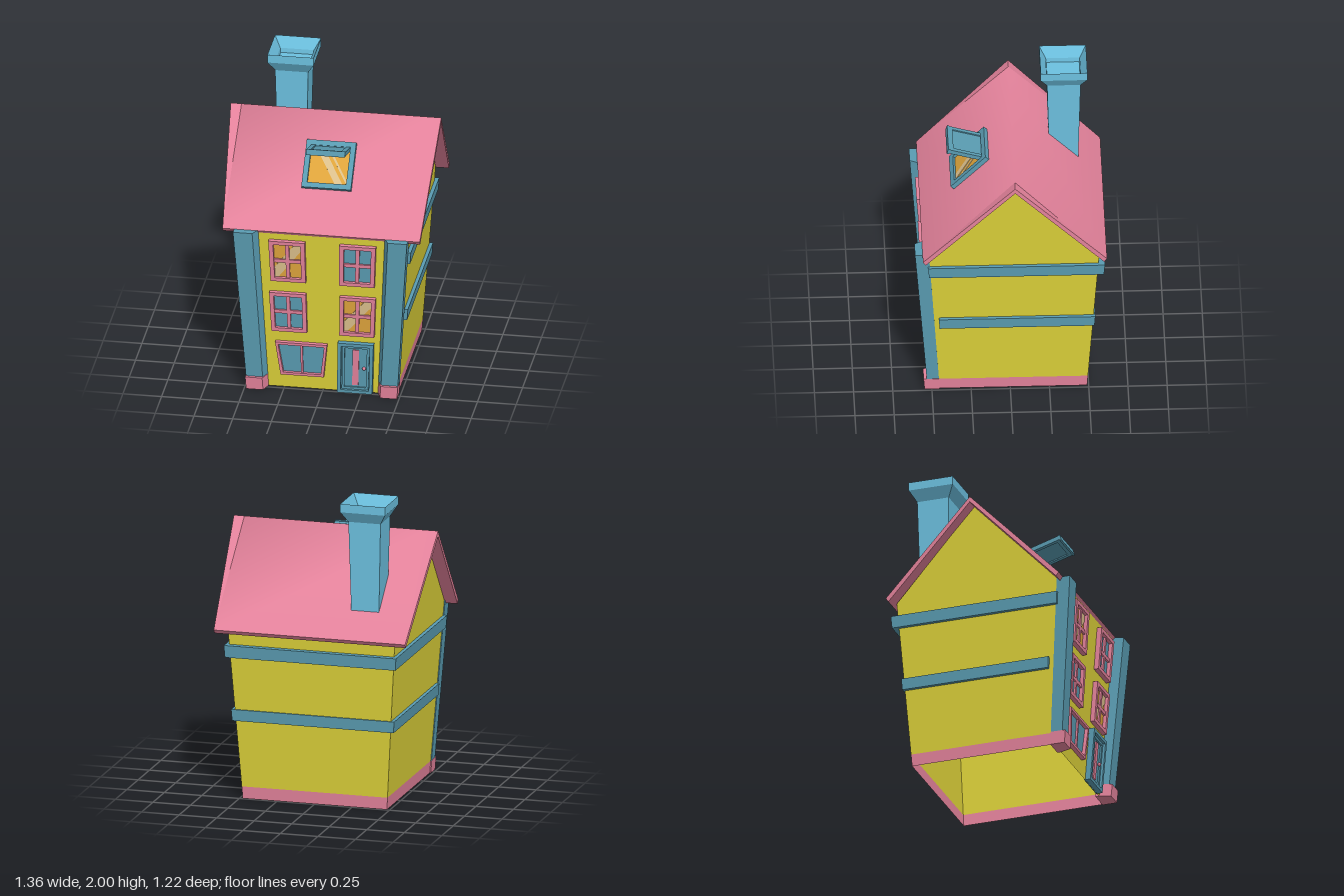
import * as THREE from 'three';

const mat = (name, color, side = THREE.FrontSide) => {
  const m = new THREE.MeshStandardMaterial({ color, side });
  m.name = name;
  return m;
};

export function createModel() {
  const wallYellow = mat('wall yellow', 0xdcd139, THREE.DoubleSide);
  const pink = mat('trim pink', 0xe5839c, THREE.DoubleSide);
  const blue = mat('trim blue', 0x5a9cb2);
  const chimneyBlue = mat('chimney blue', 0x6cc0df);
  const gold = mat('lit glass gold', 0xdfa53c);
  const glareMat = mat('glass glare', 0xdcc08c);

  const house = new THREE.Group();
  house.name = 'house';

  // The whole house widens steadily towards the top
  const taper = (g) => {
    const p = g.attributes.position;
    for (let i = 0; i < p.count; i++) {
      const s = 1 + 0.14 * p.getY(i);
      p.setXYZ(i, p.getX(i) * s, p.getY(i), p.getZ(i) * s);
    }
    return flat(g);
  };
  const flat = (g) => {
    const n = g.index ? g.toNonIndexed() : g;
    n.computeVertexNormals();
    return n;
  };
  const add = (name, g, m, parent = house) => {
    const mesh = new THREE.Mesh(g, m);
    mesh.name = name;
    parent.add(mesh);
    return mesh;
  };
  const shapeOf = (pts) => new THREE.Shape(pts.map(([x, y]) => new THREE.Vector2(x, y)));
  const box = (x0, x1, y0, y1, z0, z1) =>
    new THREE.BoxGeometry(x1 - x0, y1 - y0, z1 - z0).translate((x0 + x1) / 2, (y0 + y1) / 2, (z0 + z1) / 2);
  const plate = (pts, z0, z1) =>
    new THREE.ExtrudeGeometry(shapeOf(pts), { depth: z1 - z0, bevelEnabled: false }).translate(0, 0, z0);
  // Trapezoid outline: half widths at bottom and top
  const trap = (cx, y0, y1, b, t) => [[cx - b, y0], [cx + b, y0], [cx + t, y1], [cx - t, y1]];
  const frame = (cx, y0, y1, b, t, w, z0, z1) => {
    const s = shapeOf(trap(cx, y0, y1, b, t));
    s.holes.push(shapeOf(trap(cx, y0 + w, y1 - w, b - w, t - w)));
    return new THREE.ExtrudeGeometry(s, { depth: z1 - z0, bevelEnabled: false }).translate(0, 0, z0);
  };

  // Walls: open-bottomed shell with painted base
  const W = 0.48, F = 0.475, B = -0.49, E = 1.12, P = 0.08;
  const sideFace = (pts, x) => new THREE.ShapeGeometry(shapeOf(pts)).rotateY(-Math.PI / 2).translate(x, 0, 0);
  for (const s of [1, -1]) {
    add('sideWall', taper(sideFace([[B, P], [F, P], [F, E], [-0.02, 1.705], [B, E]], s * W)), wallYellow);
    add('sideBase', taper(sideFace([[B, 0], [F, 0], [F, P], [B, P]], s * W)), pink);
  }
  const across = (y0, y1, z, flip) => {
    const g = new THREE.PlaneGeometry(2 * W, y1 - y0);
    if (flip) g.rotateY(Math.PI);
    return taper(g.translate(0, (y0 + y1) / 2, z));
  };
  add('frontWall', across(0, E, F, false), wallYellow);
  add('backWall', across(P, E, B, true), wallYellow);
  add('backBase', across(0, P, B, true), pink);

  // Corner columns with chamfered inner side, and their feet
  const pillar = (s, out, front, y0, y1) => {
    const pts = [[out, 0.45], [out, front], [0.378, front], [0.353, F], [0.353, 0.45]].map(([x, z]) => [s * x, z]);
    const g = new THREE.ExtrudeGeometry(shapeOf(pts), { depth: y1 - y0, bevelEnabled: false });
    return taper(g.rotateX(Math.PI / 2).translate(0, y1, 0));
  };
  for (const s of [1, -1]) {
    add('cornerColumn', pillar(s, 0.485, 0.527, P, 1.13), blue);
    add('columnFoot', pillar(s, 0.487, 0.547, 0, 0.085), pink);
  }

  // Horizontal bands round the sides and back
  for (const [y0, y1, front, back] of [[0.52, 0.595, 0.422, -0.499], [0.95, 1.03, 0.46, -0.525]]) {
    add('sideBand', taper(box(0.47, 0.501, y0, y1, back, front)), blue);
    add('sideBand', taper(box(-0.501, -0.47, y0, y1, back, front)), blue);
    add('backBand', taper(box(-0.475, 0.475, y0, y1, back, B + 0.01)), blue);
  }

  // Upper windows: frame, cross bars, glass and glare
  const windows = [
    [-0.193, 0.78, 1.07, 0.102, true], [0.206, 0.78, 1.07, 0.102, false],
    [-0.2, 0.415, 0.695, 0.108, false], [0.212, 0.415, 0.695, 0.106, true],
  ];
  for (const [cx, y0, y1, h, lit] of windows) {
    const cy = (y0 + y1) / 2;
    add('windowFrame', taper(frame(cx, y0, y1, h, h, 0.025, F - 0.008, F + 0.028)), pink);
    add('windowUpright', taper(box(cx - 0.011, cx + 0.011, y0 + 0.02, y1 - 0.02, F, F + 0.018)), pink);
    add('windowCrossbar', taper(box(cx - h + 0.02, cx + h - 0.02, cy - 0.012, cy + 0.012, F, F + 0.018)), pink);
    add('windowGlass', taper(box(cx - h + 0.02, cx + h - 0.02, y0 + 0.02, y1 - 0.02, F, F + 0.006)), lit ? gold : blue);
    if (lit) {
      const a = h - 0.025, b = (y1 - y0) / 2 - 0.025;
      const band = [[-a, -b], [-a + 0.02, -b], [a, b - 0.045], [a, b], [a - 0.035, b], [-a, -b + 0.07]];
      add('windowGlare', taper(plate(band.map(([x, y]) => [cx + x, cy + y]), F + 0.006, F + 0.009)), glareMat);
    }
  }

  // Wide ground-floor window
  add('shopWindowFrame', taper(frame(-0.13, 0.1, 0.335, 0.137, 0.16, 0.018, F - 0.008, F + 0.028)), pink);
  add('shopWindowUpright', taper(box(-0.137, -0.123, 0.11, 0.325, F, F + 0.018)), pink);
  add('shopWindowGlass', taper(plate(trap(-0.13, 0.11, 0.325, 0.128, 0.15), F, F + 0.006)), blue);

  // Door
  add('doorFrame', taper(frame(0.207, 0.002, 0.362, 0.113, 0.11, 0.022, F - 0.008, F + 0.035)), blue);
  add('doorLeaf', taper(box(0.11, 0.304, 0.01, 0.35, F, F + 0.01)), blue);
  add('doorMoulding', taper(frame(0.207, 0.025, 0.338, 0.085, 0.085, 0.016, F, F + 0.02)), blue);
  add('doorPlate', taper(box(0.188, 0.227, 0.055, 0.31, F + 0.005, F + 0.018)), pink);
  add('doorKnob', new THREE.SphereGeometry(0.012, 12, 8).translate(0.268, 0.18, (F + 0.02) * 1.025), pink);

  // Roof: smooth top over the ridge, flat ends, edges and underside
  const cz = -0.025, RY = 1.735, EY = 1.13, D = 0.587;
  const poly = (pts, index) => {
    const g = new THREE.BufferGeometry();
    g.setAttribute('position', new THREE.Float32BufferAttribute(pts.flat(), 3));
    g.setIndex(index);
    return g;
  };
  const rx = 0.68, ex = 0.637, ix = 0.61;
  const top = poly([
    [-ex, EY, cz + D], [ex, EY, cz + D], [-ix, RY, cz], [ix, RY, cz], [-ex, EY, cz - D], [ex, EY, cz - D],
  ], [0, 1, 3, 0, 3, 2, 2, 3, 5, 2, 5, 4]);
  top.computeVertexNormals();
  const roof = new THREE.Group();
  roof.name = 'roof';
  house.add(roof);
  add('roofTop', top, pink, roof);
  const ends = [], faces = [];
  // Per end: outer eaves and ridge, inner ridge line, then inner eaves and ridge
  for (const s of [-1, 1]) {
    const o = ends.length;
    ends.push([s * ex, EY, cz + D], [s * rx, RY, cz], [s * ex, EY, cz - D], [s * ix, RY, cz],
      [s * ex, EY - 0.025, cz + D - 0.018], [s * rx, RY - 0.036, cz], [s * ex, EY - 0.025, cz - D + 0.018]);
    const t = [[0, 1, 3], [1, 2, 3], [0, 4, 5], [0, 5, 1], [1, 5, 6], [1, 6, 2]];
    for (const [a, b, c] of t) faces.push(...(s > 0 ? [o + a, o + b, o + c] : [o + a, o + c, o + b]));
  }
  // Join the two ends: underside and eave edges
  for (const [a, b] of [[4, 0], [5, 4], [6, 5], [2, 6]]) {
    faces.push(a, a + 7, b + 7, a, b + 7, b);
  }
  add('roofEdges', flat(poly(ends, faces)), pink, roof);

  // Chimney: square flared stack with a hollow mouth
  const r2 = Math.SQRT2;
  const stack = [[0.092, 1.28], [0.107, 1.875], [0.149, 1.945], [0.149, 2], [0.109, 1.93], [0.105, 1.9], [0, 1.9]]
    .map(([r, y]) => new THREE.Vector2(r * r2, y));
  add('chimney', flat(new THREE.LatheGeometry(stack, 4, Math.PI / 4).translate(-0.325, 0, -0.366)), chimneyBlue);

  // Skylight lying on the front slope
  const skylight = new THREE.Group();
  skylight.name = 'skylight';
  skylight.position.set(0, 1.465, 0.237);
  skylight.rotation.x = -0.765;
  house.add(skylight);
  add('skylightFrame', frame(0, -0.16, 0.16, 0.16, 0.16, 0.034, -0.02, 0.03), blue, skylight);
  add('skylightGlass', box(-0.13, 0.13, -0.13, 0.13, -0.005, 0.012), gold, skylight);
  for (const [x, w] of [[-0.1, 0.05], [-0.025, 0.015]]) {
    const stripe = [[x, 0.125], [x + 0.15, -0.125], [x + 0.15 + w, -0.125], [x + w, 0.125]];
    add('skylightGlare', plate(stripe, 0.012, 0.015), glareMat, skylight);
  }

  // Open sash hinged at the top of the skylight
  const sash = new THREE.Group();
  sash.name = 'skylightSash';
  sash.position.set(0, 1.555, 0.145);
  sash.rotation.x = -Math.PI / 2 - 0.29;
  house.add(sash);
  add('sashFrame', frame(0, -0.245, 0, 0.126, 0.126, 0.028, -0.014, 0.014), blue, sash);
  add('sashPanel', box(-0.11, 0.11, -0.23, -0.015, -0.006, 0.006), blue, sash);
  add('sashLip', box(-0.126, 0.126, -0.253, -0.24, -0.02, 0.018), blue, sash);

  return house;
}
